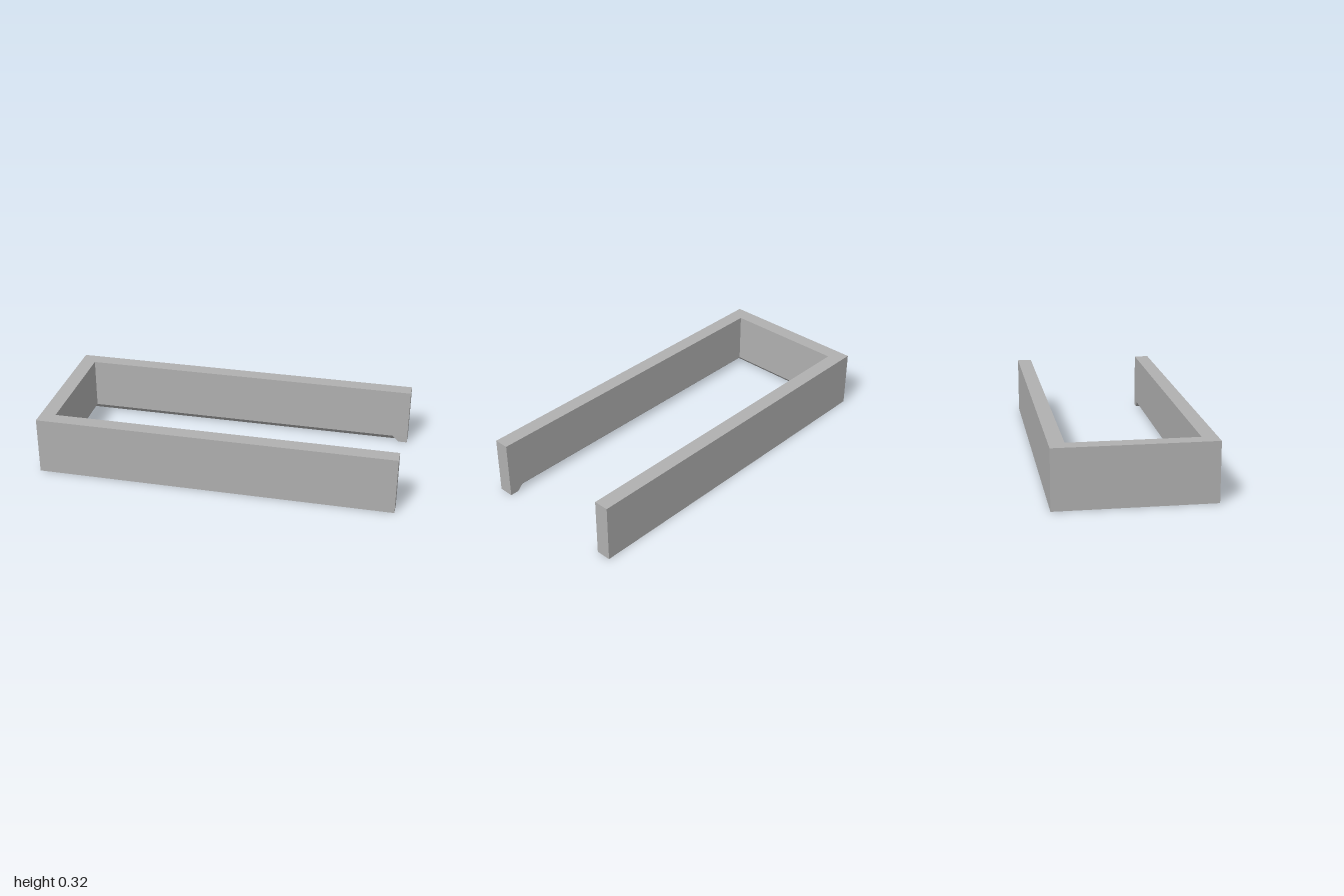
import * as THREE from 'three';

const H = 0.325;                 // height
const OX = 1, OZ = 0.427;        // outer half sizes
const IX = 0.915, IZ = 0.344;    // inner half sizes
const C = 0.035;                 // bottom bevel

export function createModel() {
  const group = new THREE.Group();
  const grey = new THREE.MeshStandardMaterial({ color: 0xb0b0b0 });
  grey.name = 'plain grey';

  // Footprint: a U open towards +x, with the bevelled recess at its widest
  const bx = IX + C, bz = IZ + C;
  const half = [[OX, OZ], [OX, IZ], [bx, IZ], [bx, bz], [-bx, bz]];
  const mirrored = half.map(([x, z]) => [x, -z]).reverse();
  const shape = new THREE.Shape([...half, ...mirrored, [-OX, -OZ], [-OX, OZ]]
    .map(([x, z]) => new THREE.Vector2(x, z)));

  // Two layers upwards: the lower one is the bevel, the upper one the straight wall
  const geo = new THREE.ExtrudeGeometry(shape, { depth: H, steps: 2, bevelEnabled: false });
  geo.rotateX(-Math.PI / 2);
  const p = geo.attributes.position;
  for (let i = 0; i < p.count; i++) {
    const y = p.getY(i);
    if (y < 0.01) continue;
    if (y < H - 0.01) p.setY(i, C);
    // above the bevel the recess closes in to the wall line
    const x = p.getX(i), z = p.getZ(i);
    if (Math.abs(Math.abs(x) - bx) < 1e-4) p.setX(i, Math.sign(x) * IX);
    if (Math.abs(Math.abs(z) - bz) < 1e-4) p.setZ(i, Math.sign(z) * IZ);
  }
  geo.computeVertexNormals();

  const frame = new THREE.Mesh(geo, grey);
  frame.name = 'openFrame';
  group.add(frame);
  return group;
}
